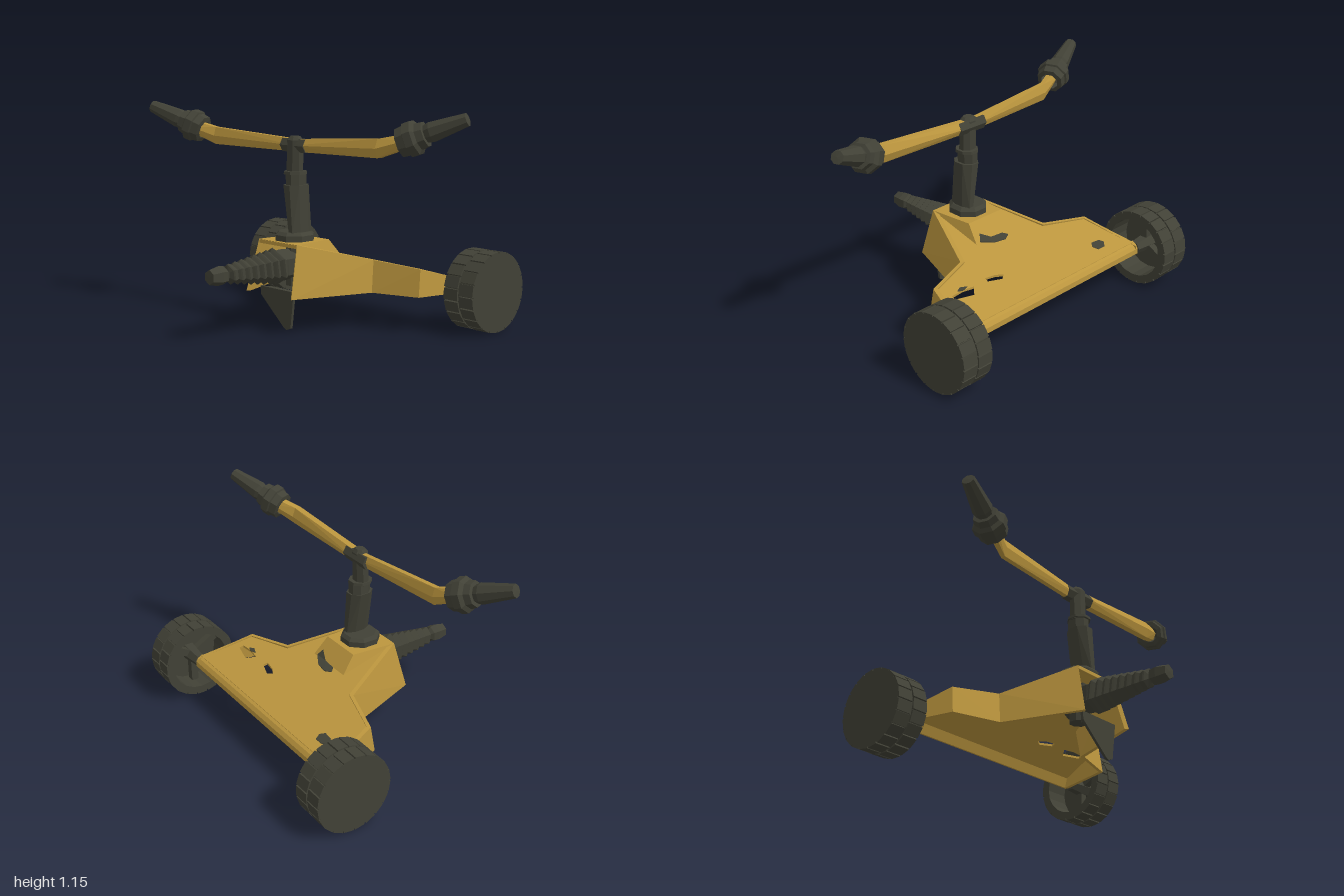
import * as THREE from 'three';
import { ConvexGeometry } from 'three/addons/geometries/ConvexGeometry.js';

const V = (x, y, z) => new THREE.Vector3(x, y, z);

// Sloping deck height, and the height including the raised hump
const deckY = (z) => 0.46 - 0.28 * (0.25 - z);
const humpY = (z) => Math.max(deckY(z), Math.min(0.46, 0.37 + (z + 0.075) * 1.28));

// Polygon rings around the y and x axes, used as hull sections
const ringY = (y, cx, cz, rx, rz, n = 8) => Array.from({ length: n }, (_, i) => {
  const a = ((i + 0.5) / n) * Math.PI * 2;
  return V(cx + Math.cos(a) * rx, y, cz + Math.sin(a) * rz);
});
const ringX = (x, cy, cz, ry, rz, n = 6) => Array.from({ length: n }, (_, i) => {
  const a = (i / n) * Math.PI * 2;
  return V(x, cy + Math.sin(a) * ry, cz + Math.cos(a) * rz);
});

export function createModel() {
  const model = new THREE.Group();
  const gold = new THREE.MeshStandardMaterial({ color: 0xbc963e, flatShading: true, side: THREE.DoubleSide });
  gold.name = 'ochre paint';
  const dark = new THREE.MeshStandardMaterial({ color: 0x414136, flatShading: true, side: THREE.DoubleSide });
  dark.name = 'dark rubber';

  const add = (name, geometry, material, parent = model) => {
    const mesh = new THREE.Mesh(geometry, material);
    mesh.name = name;
    parent.add(mesh);
    return mesh;
  };
  const hull = (name, points, material, parent) => add(name, new ConvexGeometry(points.flat()), material, parent);
  const path = (pts, Type = THREE.Shape) => new Type(pts.map(([x, z]) => new THREE.Vector2(x, -z)));
  // Flat plate in x/z draped on a height rule
  const drape = (shape, depth, rule) => {
    const g = new THREE.ExtrudeGeometry(shape, { depth, bevelEnabled: false });
    g.rotateX(-Math.PI / 2);
    const p = g.attributes.position;
    for (let i = 0; i < p.count; i++) p.setY(i, p.getY(i) + rule(p.getZ(i)));
    g.computeVertexNormals();
    return g;
  };

  // Deck with two torn holes
  const half = [[0.145, 0.25], [0.31, -0.14], [0.57, -0.21], [0.65, -0.5]];
  const deck = path([...half, ...half.map(([x, z]) => [-x, z]).reverse()]);
  deck.holes.push(
    path([[0.18, -0.315], [0.21, -0.335], [0.29, -0.31], [0.285, -0.285], [0.22, -0.295]], THREE.Path),
    path([[0.38, -0.3], [0.42, -0.345], [0.53, -0.32], [0.525, -0.295], [0.45, -0.29]], THREE.Path),
  );
  add('deck', drape(deck, 0.012, (z) => deckY(z) - 0.012), gold);

  // Dark worn patches
  add('centrePatch', drape(path([[-0.07, -0.105], [-0.03, -0.125], [0.04, -0.115], [0.11, -0.075], [0.09, -0.05],
    [0.03, -0.075], [-0.05, -0.08]]), 0.004, (z) => humpY(z) + 0.003), dark);
  add('sidePatch', drape(path([[-0.5, -0.415], [-0.475, -0.44], [-0.425, -0.44], [-0.41, -0.41], [-0.43, -0.385],
    [-0.485, -0.39]]), 0.003, deckY), dark);
  add('tornFlap', drape(path([[0.41, -0.285], [0.45, -0.295], [0.48, -0.285], [0.45, -0.27]]), 0.003, deckY), dark);

  // Raised hump under the steering column
  hull('hump', [0.145, -0.145].flatMap((x) => [V(x, 0.46, 0.25), V(x, 0.445, 0.25), V(x * 0.83, 0.46, 0.0),
    V(x * 0.87, 0.42, -0.025), V(x * 0.95, deckY(-0.075), -0.075)]), gold);

  // Rounded rear edge
  hull('rearEdge', [0.655, -0.655].flatMap((x) => [V(x, deckY(-0.49), -0.49), V(x, 0.24, -0.515), V(x, 0.22, -0.53),
    V(x, 0.19, -0.53), V(x, 0.19, -0.52)]), gold);

  // Side walls, from the front opening back to the wheels
  const top = [V(0.145, 0.46, 0.25), V(0.315, 0.358, -0.135), V(0.572, 0.333, -0.21), V(0.655, 0.24, -0.515)];
  const low = [V(0.172, 0.19, 0.317), V(0.328, 0.19, -0.11), V(0.58, 0.19, -0.19), V(0.66, 0.19, -0.515)];
  const inward = V(-0.018, 0, -0.014);
  for (const s of [1, -1]) {
    for (let i = 0; i < 3; i++) {
      const pts = [top[i], top[i + 1], low[i], low[i + 1]];
      hull('sideWall', [...pts, ...pts.map((p) => p.clone().add(inward))].map((p) => V(p.x * s, p.y, p.z)), gold);
    }
  }
  const lintel = add('frontLintel', new THREE.BoxGeometry(0.28, 0.018, 0.02), gold);
  lintel.position.set(0, 0.449, 0.243);

  // Ridged drill in front, with slanted threads
  const profile = [[0, 0.06], [0.075, 0.06], [0.085, 0.24]];
  for (let i = 0; i < 8; i++) {
    const z = 0.25 + i * 0.043;
    const r = 0.1 - i * 0.0065;
    profile.push([r * 0.82, z], [r, z + 0.025], [r * 0.92, z + 0.032]);
  }
  profile.push([0.025, 0.595], [0.046, 0.615], [0.05, 0.65], [0.038, 0.705], [0, 0.708]);
  const drill = new THREE.LatheGeometry(profile.map(([r, z]) => new THREE.Vector2(r, z)), 6);
  drill.rotateX(Math.PI / 2);
  const dp = drill.attributes.position;
  for (let i = 0; i < dp.count; i++) {
    const z = dp.getZ(i);
    if (z > 0.24 && z < 0.59) dp.setZ(i, z + dp.getY(i) * 0.15);
  }
  add('drill', drill, dark).position.y = 0.335;

  // Blade and its clip below the nose
  const bladeShape = new THREE.Shape([[-0.125, 0.215], [-0.12, 0.17], [0.055, 0.018], [0.075, 0.01], [0.105, 0.022],
    [0.13, 0.215]].map(([x, y]) => new THREE.Vector2(x, y)));
  add('blade', new THREE.ExtrudeGeometry(bladeShape, { depth: 0.015, bevelEnabled: false }), dark).position.z = 0.246;
  add('bladeClip', new THREE.BoxGeometry(0.2, 0.04, 0.04), dark).position.set(0.01, 0.192, 0.24);

  // Steering column
  hull('steeringShaft', [ringY(0.22, 0, 0.13, 0.05, 0.05), ringY(0.47, 0, 0.13, 0.05, 0.05)], dark);
  hull('columnBase', [ringY(0.46, 0, 0.13, 0.104, 0.108), ringY(0.49, 0, 0.13, 0.104, 0.108),
    ringY(0.507, 0, 0.13, 0.085, 0.09)], dark);
  hull('lowerColumn', [ringY(0.5, 0.04, 0.13, 0.035, 0.074), ringY(0.75, 0.01, 0.13, 0.06, 0.074)], dark);
  hull('columnNeck', [ringY(0.74, 0.005, 0.125, 0.05, 0.06), ringY(0.81, 0.005, 0.125, 0.05, 0.06)], dark);
  hull('columnCollar', [ringY(0.805, 0.005, 0.13, 0.062, 0.066), ringY(0.82, 0.005, 0.13, 0.06, 0.064)], dark);
  hull('upperColumn', [ringY(0.8, 0, 0.13, 0.05, 0.04), ringY(0.98, 0, 0.125, 0.05, 0.04),
    ringY(1.0, 0, 0.125, 0.03, 0.025)], dark);
  hull('barClamp', [ringX(-0.09, 0.952, 0.115, 0.04, 0.038), ringX(0.09, 0.952, 0.12, 0.04, 0.042)], dark);

  // Turned handlebar: sections are x, y, z, half height, half depth
  const bars = [
    [[0, 0.952, 0.12, 0.037, 0.036], [0.59, 0.972, 0.122, 0.054, 0.035], [0.73, 1.015, 0.065, 0.04, 0.035]],
    [[0, 0.952, 0.115, 0.037, 0.025], [-0.6, 0.972, 0.15, 0.054, 0.026], [-0.73, 1.015, 0.195, 0.04, 0.035]],
  ];
  for (const b of bars) {
    for (let i = 0; i < 2; i++) hull('handlebar', [ringX(...b[i]), ringX(...b[i + 1])], gold);
  }

  // Grips: one stepped profile along each bar end
  const gripProfile = [[0.05, 0], [0.075, 0.005], [0.08, 0.045], [0.09, 0.05], [0.09, 0.09], [0.07, 0.105],
    [0.065, 0.14], [0.045, 0.142], [0.053, 0.17], [0.034, 0.355], [0, 0.357]];
  const grips = [[V(0.685, 1.0, 0.085), V(0.982, 1.118, -0.04)], [V(-0.685, 1.0, 0.175), V(-0.982, 1.118, 0.288)]];
  for (const [a, b] of grips) {
    const grip = add('grip', new THREE.LatheGeometry(gripProfile.map(([r, y]) => new THREE.Vector2(r, y)), 8), dark);
    grip.position.copy(a);
    grip.quaternion.setFromUnitVectors(V(0, 1, 0), b.clone().sub(a).normalize());
  }

  // Wheels: closed outside, hollow inside, two staggered rows of tread blocks
  const rim = [[0, 0.14], [0.165, 0.14], [0.165, 0], [0.202, 0], [0.202, 0.08], [0.202, 0.185], [0, 0.185]];
  for (const s of [1, -1]) {
    const wheel = new THREE.Group();
    wheel.name = s > 0 ? 'leftWheel' : 'rightWheel';
    add('rim', new THREE.LatheGeometry(rim.map(([r, y]) => new THREE.Vector2(r, y)), 20), dark, wheel);
    add('hub', new THREE.CylinderGeometry(0.05, 0.035, 0.14, 6), dark, wheel).position.y = 0.07;
    for (let i = 0; i < 3; i++) {
      const a = (i / 3) * Math.PI * 2;
      const spoke = add('spoke', new THREE.BoxGeometry(0.15, 0.04, 0.04), dark, wheel);
      spoke.position.set(Math.cos(a) * 0.09, 0.1, Math.sin(a) * 0.09);
      spoke.rotation.y = -a;
    }
    for (let row = 0; row < 2; row++) {
      for (let i = 0; i < 20; i++) {
        const a = ((i + row * 0.5) / 20) * Math.PI * 2;
        const block = add('treadBlock', new THREE.BoxGeometry(0.018, 0.088, 0.058), dark, wheel);
        block.position.set(Math.cos(a) * 0.2, 0.044 + row * 0.097, Math.sin(a) * 0.2);
        block.rotation.y = -a;
      }
    }
    wheel.rotation.z = -s * Math.PI / 2;
    wheel.position.set(s * 0.66, 0.212, -0.5);
    model.add(wheel);
  }
  return model;
}
